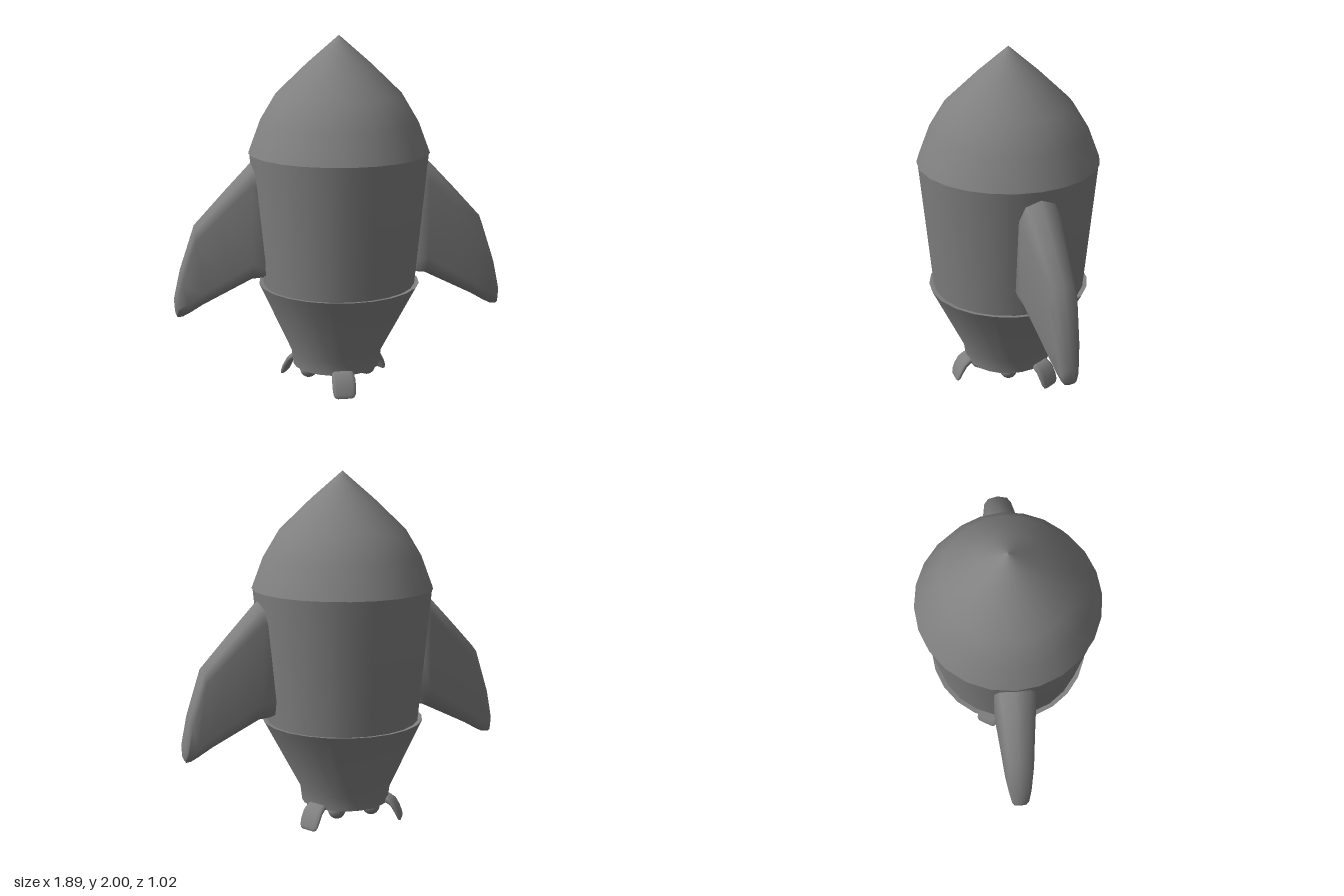
import * as THREE from 'three';
import { toCreasedNormals } from 'three/addons/utils/BufferGeometryUtils.js';

const material = new THREE.MeshStandardMaterial({ color: 0x808080 });
const BASE_X = -0.016; // the tail leans slightly to one side

function addMesh(parent, name, geometry) {
  const mesh = new THREE.Mesh(geometry, material);
  mesh.name = name;
  parent.add(mesh);
  return mesh;
}

// Turned part from [radius, y] pairs, listed bottom to top
function turned(profile) {
  return new THREE.LatheGeometry(profile.map(([r, y]) => new THREE.Vector2(r, y)), 24);
}

// Closed skin over equal-length rings of points, faces turned outward
function loft(rings) {
  const n = rings[0].length;
  const points = rings.flat();
  const index = [];
  for (let i = 0; i < rings.length - 1; i++) {
    for (let j = 0; j < n; j++) {
      const a = i * n + j, b = i * n + (j + 1) % n;
      index.push(a, b, a + n, b, b + n, a + n);
    }
  }
  const last = (rings.length - 1) * n;
  for (let j = 1; j < n - 1; j++) {
    index.push(0, j + 1, j, last, last + j, last + j + 1);
  }
  // Reverse the winding if the enclosed volume is negative
  let volume = 0;
  const cross = new THREE.Vector3();
  for (let i = 0; i < index.length; i += 3) {
    cross.crossVectors(points[index[i + 1]], points[index[i + 2]]);
    volume += points[index[i]].dot(cross);
  }
  if (volume < 0) index.reverse();
  const geometry = new THREE.BufferGeometry().setFromPoints(points);
  geometry.setIndex(index);
  geometry.computeVertexNormals();
  return geometry;
}

// Swept-back fin: sections run from upper edge to lower edge with rounded ends
function finGeometry(side) {
  // [top x, top y, bottom x, bottom y, half thickness]
  const sections = [
    [0.40, 1.31, 0.38, 0.64, 0.118],
    [0.50, 1.30, 0.50, 0.63, 0.114],
    [0.66, 1.13, 0.64, 0.56, 0.096],
    [0.82, 0.955, 0.78, 0.49, 0.08],
    [0.905, 0.70, 0.85, 0.448, 0.064],
    [0.943, 0.53, 0.895, 0.425, 0.05],
    [0.938, 0.46, 0.922, 0.425, 0.036],
  ];
  return loft(sections.map(([tx, ty, bx, by, w]) => {
    const top = new THREE.Vector3(tx * side, ty, 0);
    const bottom = new THREE.Vector3(bx * side, by, 0);
    const middle = top.clone().add(bottom).multiplyScalar(0.5);
    const half = top.distanceTo(bottom) / 2;
    const axis = top.clone().sub(middle).normalize();
    const r = Math.min(w, half);
    const ring = [];
    for (let end = 0; end < 2; end++) {
      for (let k = 0; k <= 4; k++) {
        const a = -Math.PI / 2 + Math.PI * k / 4 + end * Math.PI;
        const along = (end ? -1 : 1) * (half - r) + r * Math.cos(a);
        const p = middle.clone().addScaledVector(axis, along);
        p.z = w * Math.sin(a);
        ring.push(p);
      }
    }
    return ring;
  }));
}

// Small curved foot plate, bending outward and down along +z
function footGeometry() {
  // [z, y, half width, half thickness, direction of travel]
  const sections = [
    [0.215, 0.118, 0.05, 0.012, 0.2],
    [0.25, 0.124, 0.062, 0.018, -0.25],
    [0.282, 0.102, 0.066, 0.016, -0.85],
    [0.307, 0.06, 0.067, 0.014, -1.1],
    [0.321, 0.025, 0.063, 0.012, -1.25],
    [0.326, 0.01, 0.054, 0.009, -1.3],
    [0.328, 0.004, 0.04, 0.004, -1.3],
  ];
  return loft(sections.map(([z, y, w, t, tilt]) => {
    const ring = [];
    for (let k = 0; k < 12; k++) {
      const a = Math.PI * 2 * k / 12;
      const c = Math.cos(a), s = Math.sin(a);
      const u = Math.sign(c) * Math.abs(c) ** 0.6 * w;
      const v = Math.sign(s) * Math.abs(s) ** 0.6 * t;
      ring.push(new THREE.Vector3(u, y + v * Math.cos(tilt), z - v * Math.sin(tilt)));
    }
    return ring;
  }));
}

export function createModel() {
  const model = new THREE.Group();
  model.name = 'rocket';

  // Pointed dome
  addMesh(model, 'noseCone', toCreasedNormals(turned([
    [0, 1.352], [0.51, 1.352], [0.445, 1.525],
    [0.355, 1.675], [0.178, 1.845], [0, 2],
  ]), 0.6));

  // Hull, widening upward
  addMesh(model, 'hull', toCreasedNormals(turned([
    [0, 0.55], [0.425, 0.55], [0.432, 0.6], [0.504, 1.352],
  ]), 0.6));

  // Tapered tail with a flat ledge and closed underside
  const tail = turned([
    [0, 0.112], [0.25, 0.112], [0.26, 0.195], [0.458, 0.6], [0.42, 0.595],
  ]);
  const position = tail.attributes.position;
  for (let i = 0; i < position.count; i++) {
    const lean = Math.min(1, (0.6 - position.getY(i)) / 0.405);
    position.setX(i, position.getX(i) + BASE_X * lean);
  }
  addMesh(model, 'tail', toCreasedNormals(tail, 0.6));

  // Side fins
  addMesh(model, 'leftFin', finGeometry(1));
  addMesh(model, 'rightFin', finGeometry(-1));

  // Ring of five round-ended nozzles
  const nozzles = new THREE.Group();
  nozzles.name = 'nozzles';
  nozzles.position.set(BASE_X, 0, 0);
  for (let i = 0; i < 5; i++) {
    const a = i * Math.PI * 2 / 5;
    addMesh(nozzles, 'nozzle', new THREE.CapsuleGeometry(0.05, 0.04, 6, 16))
      .position.set(0.178 * Math.sin(a), 0.115, 0.178 * Math.cos(a));
  }
  model.add(nozzles);

  // Three feet, one at the front
  const feet = new THREE.Group();
  feet.name = 'feet';
  feet.position.set(BASE_X, 0, 0);
  for (let i = 0; i < 3; i++) {
    addMesh(feet, 'foot', footGeometry()).rotation.y = i * Math.PI * 2 / 3;
  }
  model.add(feet);

  return model;
}
